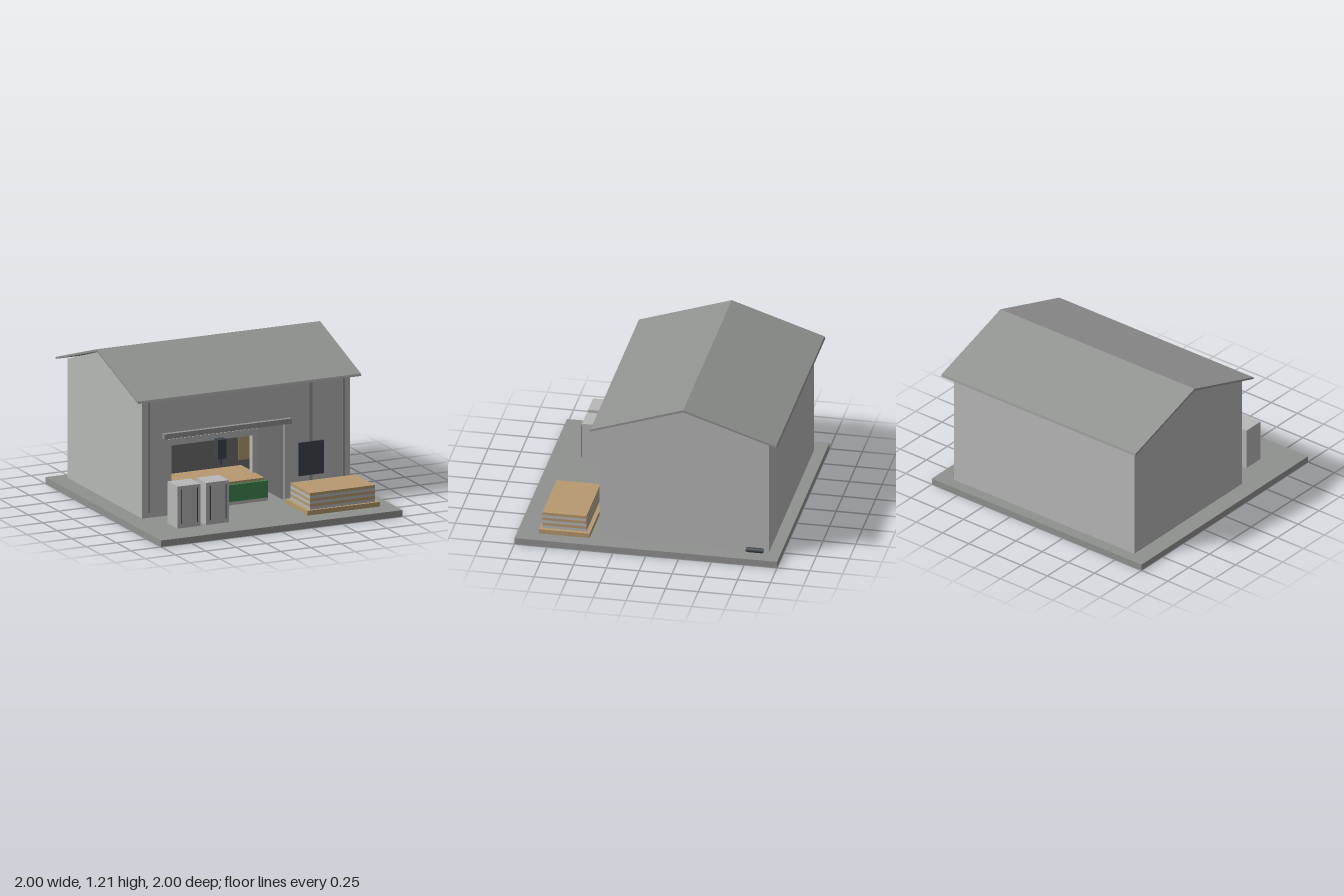
import * as THREE from 'three';

const mat = (name, color) => {
  const m = new THREE.MeshStandardMaterial({ color });
  m.name = name;
  return m;
};

export function createModel() {
  const wallGrey = mat('light grey', 0xb6b8b6);
  const midGrey = mat('mid grey', 0x909290);
  const shadeGrey = mat('dark grey', 0x6d6d6d);
  const wood = mat('plywood', 0xb6996f);
  const green = mat('machine green', 0x3f8750);
  const dark = mat('slate', 0x3d454c);

  const model = new THREE.Group();
  model.name = 'workshop';

  const add = (name, geometry, material, parent = model) => {
    const mesh = new THREE.Mesh(geometry, material);
    mesh.name = name;
    parent.add(mesh);
    return mesh;
  };
  // Box given by its minimum and maximum on each axis
  const box = (name, material, [x0, x1], [y0, y1], [z0, z1], parent) => {
    const g = new THREE.BoxGeometry(x1 - x0, y1 - y0, z1 - z0);
    g.translate((x0 + x1) / 2, (y0 + y1) / 2, (z0 + z1) / 2);
    return add(name, g, material, parent);
  };
  // [z, y] outline extruded along x
  const extrudeX = (name, material, points, x0, x1) => {
    const shape = new THREE.Shape(points.map(([z, y]) => new THREE.Vector2(-z, y)));
    const g = new THREE.ExtrudeGeometry(shape, { depth: x1 - x0, bevelEnabled: false });
    g.rotateY(Math.PI / 2).translate(x0, 0, 0);
    return add(name, g, material);
  };
  const group = (name) => {
    const g = new THREE.Group();
    g.name = name;
    model.add(g);
    return g;
  };

  box('groundSlab', midGrey, [-1, 1], [0, 0.05], [-1, 1]);

  // Gabled end walls and back wall
  const gable = [[0.38, 0.05], [0.38, 0.973], [-0.27, 1.192], [-0.91, 0.973], [-0.91, 0.05]];
  extrudeX('rightEndWall', wallGrey, gable, -0.86, -0.84);
  extrudeX('leftEndWall', wallGrey, gable, 0.84, 0.86);
  box('backWall', wallGrey, [-0.84, 0.84], [0.05, 0.973], [-0.91, -0.89]);

  // Front wall with the bay opening
  const front = new THREE.Shape([[-0.84, 0.05], [-0.65, 0.05], [-0.65, 0.65], [0.32, 0.65],
    [0.32, 0.05], [0.84, 0.05], [0.84, 0.973], [-0.84, 0.973]].map(([x, y]) => new THREE.Vector2(x, y)));
  const frontGeo = new THREE.ExtrudeGeometry(front, { depth: 0.02, bevelEnabled: false });
  frontGeo.translate(0, 0, 0.36);
  add('frontWall', frontGeo, wallGrey);

  // Bent roof
  extrudeX('roof', midGrey, [[0.437, 0.977], [-0.27, 1.21], [-0.977, 0.977],
    [-0.983, 0.96], [-0.27, 1.192], [0.443, 0.96]].map(([z, y]) => [z, y]), -0.925, 0.925);

  // Lined work bay
  const bay = group('workBay');
  box('bayBack', shadeGrey, [-0.66, 0.33], [0.05, 0.66], [-0.17, -0.16], bay);
  box('bayRightSide', shadeGrey, [-0.66, -0.65], [0.05, 0.66], [-0.16, 0.36], bay);
  box('bayLeftSide', shadeGrey, [0.32, 0.33], [0.05, 0.66], [-0.16, 0.36], bay);
  box('bayCeiling', shadeGrey, [-0.65, 0.32], [0.65, 0.66], [-0.16, 0.36], bay);
  box('rightWoodPanel', wood, [-0.65, -0.525], [0.25, 0.515], [-0.16, -0.145], bay);
  box('leftWoodPanel', wood, [0.195, 0.32], [0.25, 0.515], [-0.16, -0.145], bay);

  // Door rail, wall strips and front panel
  box('doorRail', midGrey, [-0.69, 0.365], [0.65, 0.69], [0.38, 0.415]);
  for (const x of [-0.81, 0.535, 0.805]) {
    box('wallStrip', midGrey, [x - 0.011, x + 0.011], [0.09, 0.95], [0.38, 0.387]);
  }
  box('wallPanel', dark, [0.43, 0.64], [0.23, 0.487], [0.38, 0.395]);

  // Gantry cutting machine
  const machine = group('cuttingMachine');
  box('machinePlinth', wallGrey, [-0.54, 0.21], [0.05, 0.075], [-0.12, 0.32], machine);
  box('machineBed', green, [-0.54, 0.21], [0.075, 0.205], [-0.12, 0.32], machine);
  box('workSheet', wood, [-0.52, 0.19], [0.205, 0.225], [-0.1, 0.3], machine);
  for (const x of [-0.54, 0.17]) {
    box('gantryPost', wallGrey, [x, x + 0.04], [0.205, 0.515], [0.09, 0.14], machine);
  }
  box('gantryBeam', wallGrey, [-0.54, 0.21], [0.515, 0.565], [0.09, 0.14], machine);
  box('spindle', dark, [-0.145, -0.075], [0.38, 0.53], [0.14, 0.2], machine);
  const bit = add('cuttingBit', new THREE.CylinderGeometry(0.012, 0.012, 0.05, 12), dark, machine);
  bit.position.set(-0.11, 0.355, 0.17);

  // Two cabinets with slim door strips
  for (const x of [-0.745, -0.508]) {
    const cabinet = group('cabinet');
    box('cabinetBody', wallGrey, [x, x + 0.19], [0.05, 0.375], [0.58, 0.75], cabinet);
    for (const dx of [0.033, 0.163]) {
      box('doorStrip', dark, [x + dx - 0.003, x + dx + 0.003], [0.085, 0.35], [0.75, 0.757], cabinet);
    }
  }

  // Sheet stack on a pallet
  const stack = group('sheetStack');
  box('pallet', wood, [0.29, 0.89], [0.05, 0.086], [0.45, 0.835], stack);
  for (let i = 0; i < 6; i++) {
    const y = 0.086 + i * 0.0215;
    box('sheet', i % 2 ? wood : wallGrey, [0.32, 0.86], [y, y + 0.0215], [0.48, 0.815], stack);
  }

  // Small motor beside the end wall
  const motor = group('sideMotor');
  box('motorBase', dark, [0.86, 0.885], [0.05, 0.08], [-0.86, -0.75], motor);
  const barrel = add('motorBarrel', new THREE.CylinderGeometry(0.017, 0.017, 0.13, 16), dark, motor);
  barrel.rotation.x = Math.PI / 2;
  barrel.position.set(0.878, 0.068, -0.805);

  return model;
}
